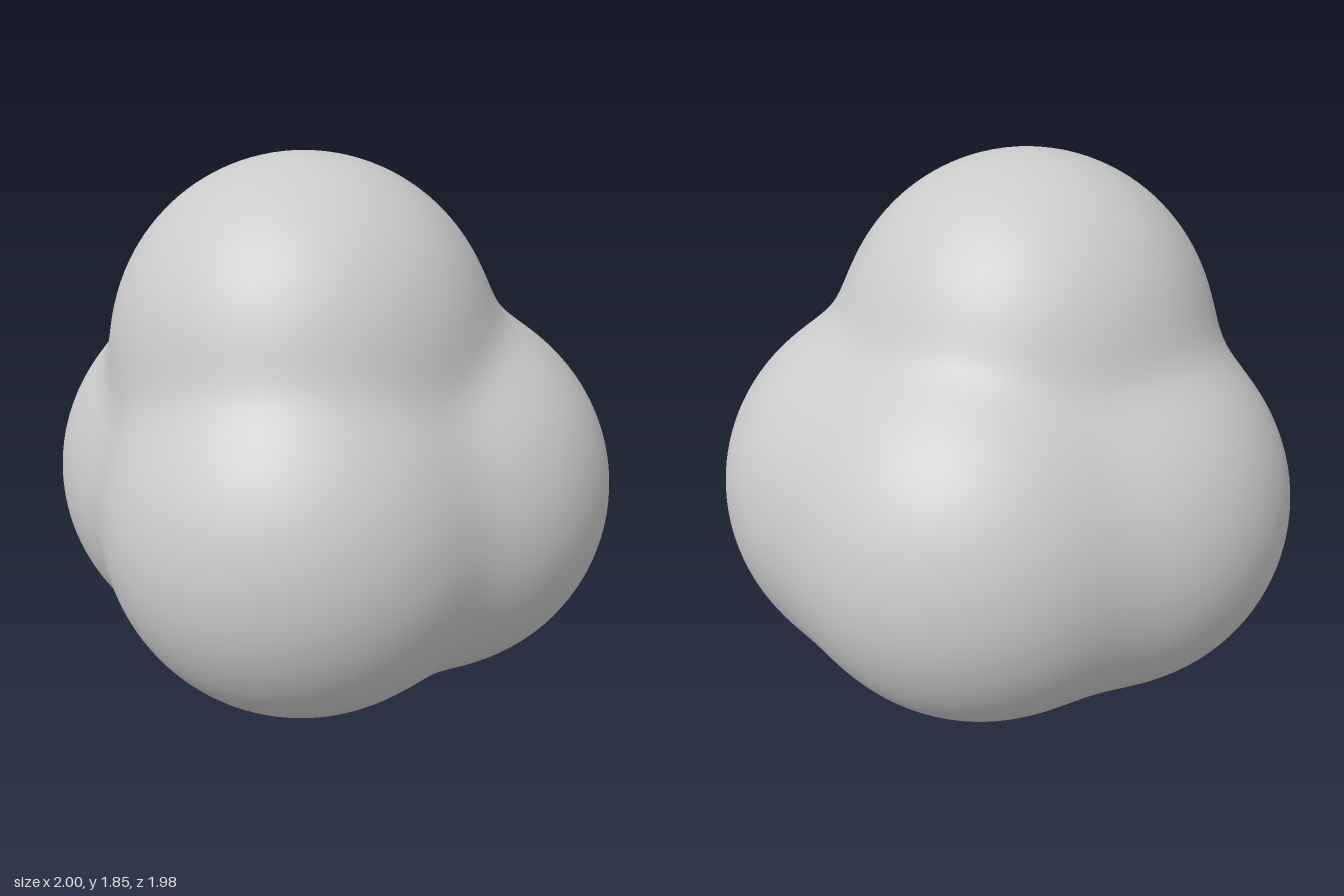
import * as THREE from 'three';
import { mergeVertices } from 'three/addons/utils/BufferGeometryUtils.js';

// Lobes of the cluster: centre x, y, z and radius
const LOBES = [
  [-0.05, 1.195, 0.07, 0.655], // top
  [0.335, 0.68, -0.08, 0.665], // left
  [-0.335, 0.68, -0.08, 0.665], // right
  [0.015, 0.675, 0.32, 0.665], // front
  [0.03, 0.675, -0.335, 0.665], // back
];
const BLEND = 0.045;
const CORE = new THREE.Vector3(0, 0.8, 0);

// Smoothly blended distance to all lobes
function distance(p) {
  let sum = 0;
  for (const [x, y, z, r] of LOBES) {
    sum += Math.exp(-(Math.hypot(p.x - x, p.y - y, p.z - z) - r) / BLEND);
  }
  return -BLEND * Math.log(sum);
}

export function createModel() {
  const group = new THREE.Group();

  // Fine ball whose vertices are pushed out to the blended surface
  let geometry = new THREE.IcosahedronGeometry(1, 30);
  geometry.deleteAttribute('uv');
  geometry.deleteAttribute('normal');
  geometry = mergeVertices(geometry, 1e-4);

  const position = geometry.attributes.position;
  const dir = new THREE.Vector3();
  const p = new THREE.Vector3();
  for (let i = 0; i < position.count; i++) {
    dir.fromBufferAttribute(position, i).normalize();
    let inner = 0.2, outer = 1.6;
    for (let step = 0; step < 24; step++) {
      const mid = (inner + outer) / 2;
      p.copy(CORE).addScaledVector(dir, mid);
      if (distance(p) < 0) inner = mid;
      else outer = mid;
    }
    position.setXYZ(i, p.x, Math.max(p.y, 0), p.z);
  }
  geometry.computeVertexNormals();

  const body = new THREE.Mesh(
    geometry,
    new THREE.MeshStandardMaterial({ color: 0xcccccc })
  );
  body.name = 'lobedBody';
  group.add(body);
  return group;
}
